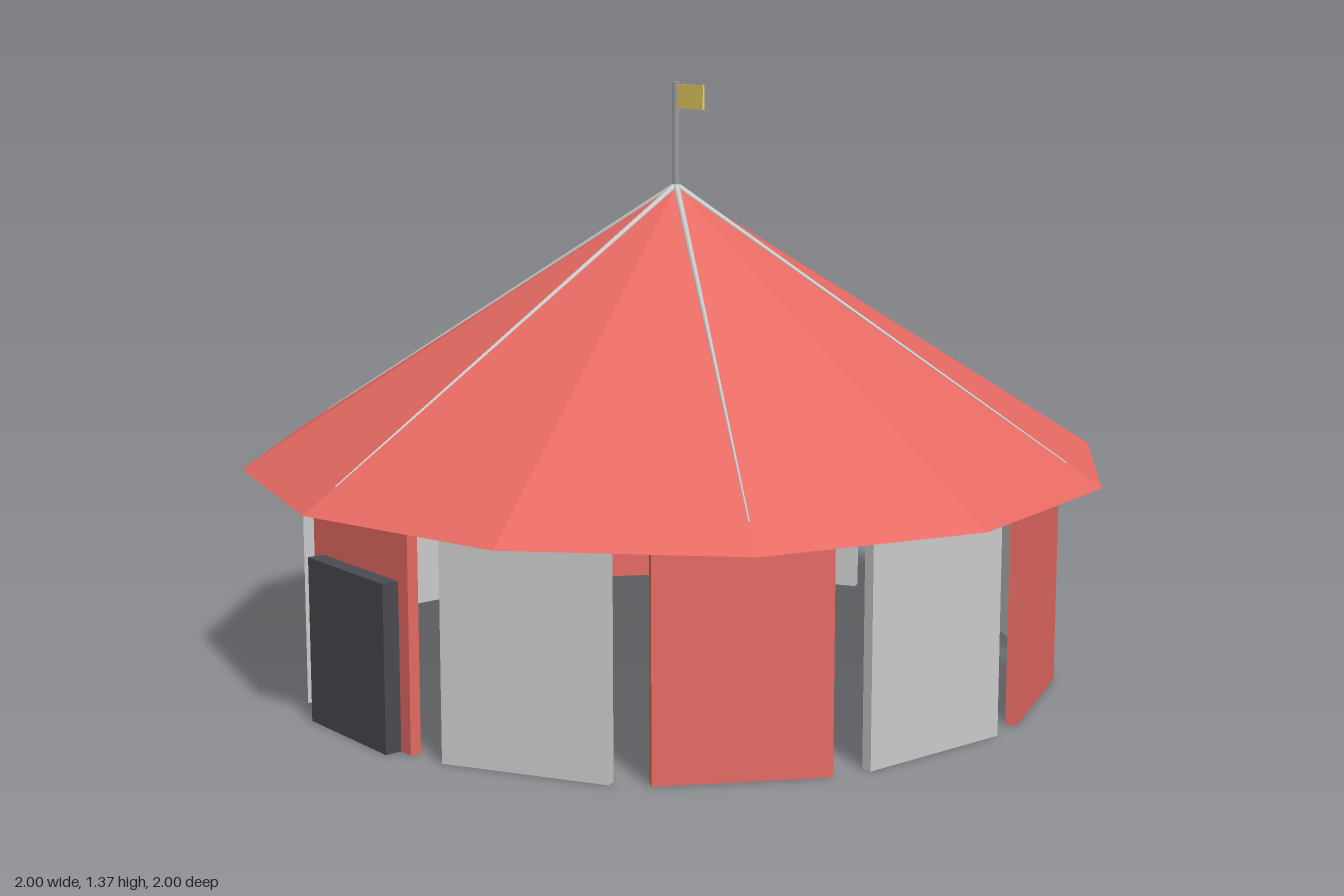
import * as THREE from 'three';

const mat = (color, opts = {}) => new THREE.MeshStandardMaterial({ color, ...opts });

export function createModel() {
  const tent = new THREE.Group();
  tent.name = 'tent';

  const red = mat(0xe66a63, { flatShading: true });
  const grey = mat(0xcccccc);
  const dark = mat(0x4a4a50);
  const yellow = mat(0xf0d468);
  const steel = mat(0x9a9da2);

  const SIDES = 12, EAVE = 0.5, APEX = 1.133, WALL = 0.865;

  const add = (name, geometry, material, x, y, z, parent = tent) => {
    const mesh = new THREE.Mesh(geometry, material);
    mesh.name = name;
    mesh.position.set(x, y, z);
    parent.add(mesh);
    return mesh;
  };

  // Twelve-sided roof, closed underneath
  add('roof', new THREE.ConeGeometry(1, APEX - EAVE, SIDES), red, 0, (APEX + EAVE) / 2, 0);

  // Wall panels, alternately red and grey, one facing each roof corner
  const panel = new THREE.BoxGeometry(0.374, EAVE, 0.025);
  for (let i = 0; i < SIDES; i++) {
    const a = (i / SIDES) * Math.PI * 2, r = WALL - 0.0125;
    const mesh = add(i % 2 ? 'greyWallPanel' : 'redWallPanel', panel, i % 2 ? grey : red,
      Math.sin(a) * r, EAVE / 2, Math.cos(a) * r);
    mesh.rotation.y = a;
  }

  // Thin tapering seams along every second ridge
  const up = new THREE.Vector3(0, 1, 0);
  const top = new THREE.Vector3(0, APEX, 0);
  for (let i = 0; i < 6; i++) {
    const a = (i / 6) * Math.PI * 2, r = 0.92;
    const end = new THREE.Vector3(Math.sin(a) * r, APEX - (APEX - EAVE) * r, Math.cos(a) * r);
    const dir = top.clone().sub(end);
    const mid = top.clone().add(end).multiplyScalar(0.5);
    const seam = add('roofSeam', new THREE.CylinderGeometry(0.008, 0.002, dir.length(), 6), grey, mid.x, mid.y, mid.z);
    seam.quaternion.setFromUnitVectors(up, dir.normalize());
  }

  // Entrance flap in front of the front panel
  add('door', new THREE.BoxGeometry(0.3, 0.368, 0.038), dark, 0, 0.184, 0.884);

  // Flagpole and flag
  add('flagpole', new THREE.CylinderGeometry(0.009, 0.009, 0.27, 8), steel, 0, 1.235, 0);
  add('flag', new THREE.BoxGeometry(0.094, 0.055, 0.005), yellow, 0.051, 1.337, 0);

  return tent;
}
